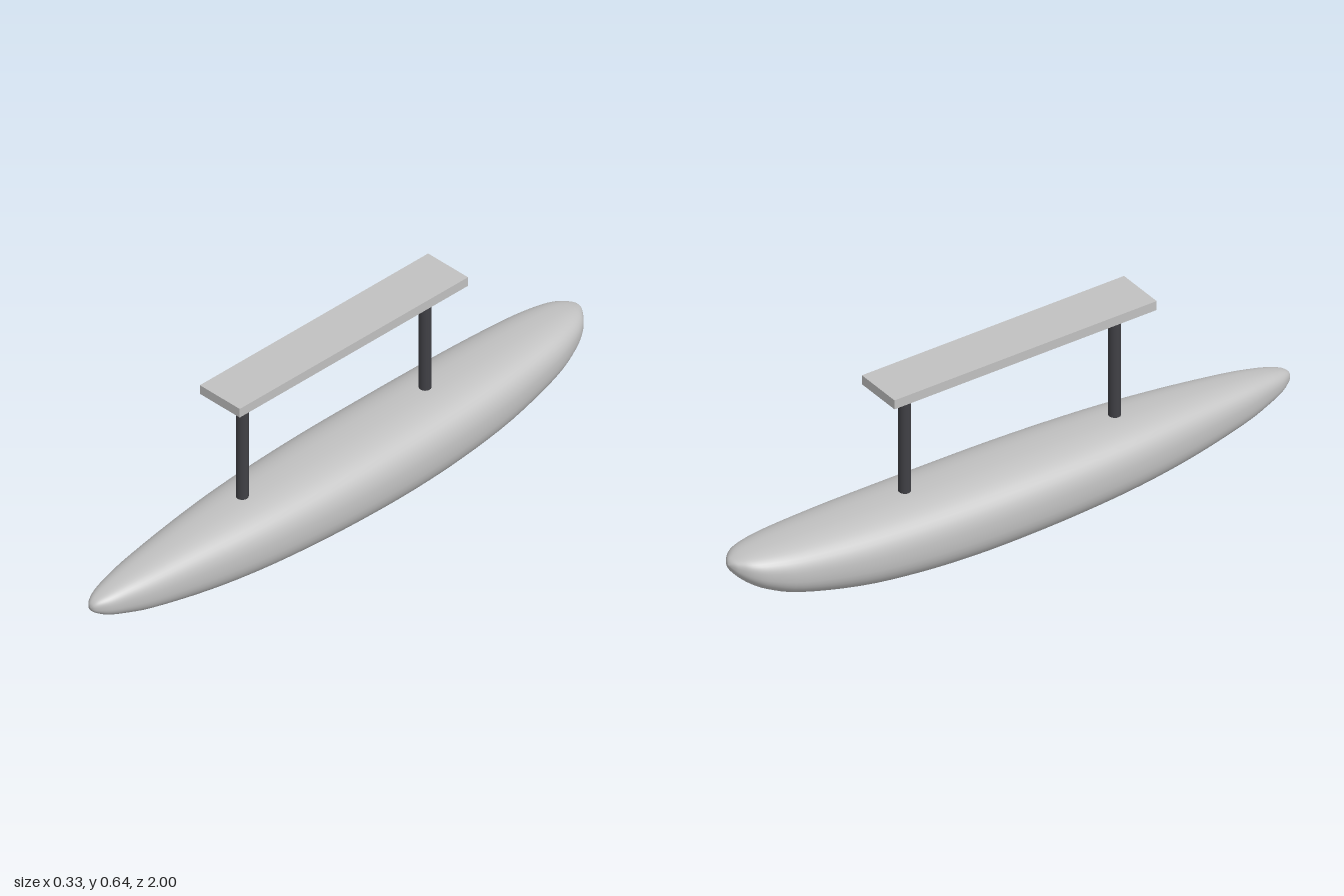
import * as THREE from 'three';
import { mergeVertices } from 'three/addons/utils/BufferGeometryUtils.js';

// Hull stations from bow (+z) to stern (-z): z, top, bottom, half width
const STATIONS = [
  [1, 0.155, 0.155, 0], [0.995, 0.167, 0.142, 0.013], [0.98, 0.178, 0.13, 0.026],
  [0.95, 0.188, 0.114, 0.042], [0.9, 0.199, 0.097, 0.058], [0.8, 0.213, 0.07, 0.082],
  [0.6, 0.231, 0.036, 0.115], [0.4, 0.242, 0.017, 0.141], [0.2, 0.248, 0.007, 0.156],
  [0, 0.252, 0.002, 0.163], [-0.2, 0.254, 0.002, 0.163], [-0.4, 0.256, 0.014, 0.158],
  [-0.6, 0.259, 0.04, 0.146], [-0.8, 0.261, 0.088, 0.12], [-0.9, 0.259, 0.13, 0.093],
  [-0.95, 0.254, 0.163, 0.068], [-0.98, 0.246, 0.192, 0.038], [-0.993, 0.239, 0.212, 0.018],
  [-1, 0.228, 0.228, 0],
];

// Lofts rounded-square sections along the hull
function hullGeometry() {
  const curve = pick => new THREE.CatmullRomCurve3(STATIONS.map(pick), false, 'catmullrom', 0.5);
  const profile = curve(([z, top, bottom]) => new THREE.Vector3(z, top, bottom));
  const plan = curve(([z, , , half]) => new THREE.Vector3(z, half, 0));
  const rings = 72, sides = 48, positions = [], index = [];
  const soften = v => Math.sign(v) * Math.abs(v) ** 0.83;
  for (let i = 0; i <= rings; i++) {
    const p = profile.getPoint(i / rings);
    const half = Math.max(0, plan.getPoint(i / rings).y);
    for (let j = 0; j < sides; j++) {
      const a = (j / sides) * Math.PI * 2;
      positions.push(
        half * soften(Math.cos(a)),
        (p.y + p.z) / 2 + ((p.y - p.z) / 2) * soften(Math.sin(a)),
        p.x,
      );
      if (i === rings) continue;
      const k = (j + 1) % sides;
      const a0 = i * sides + j, b0 = i * sides + k, a1 = a0 + sides, b1 = b0 + sides;
      if (i > 0) index.push(a0, b1, b0);
      if (i < rings - 1) index.push(a0, a1, b1);
      else index.push(a0, a1, b1);
    }
  }
  let geometry = new THREE.BufferGeometry();
  geometry.setAttribute('position', new THREE.Float32BufferAttribute(positions, 3));
  geometry.setIndex(index);
  geometry = mergeVertices(geometry, 1e-6);
  geometry.computeVertexNormals();
  return geometry;
}

export function createModel() {
  const model = new THREE.Group();
  model.name = 'floatWithMount';
  const grey = new THREE.MeshStandardMaterial({ color: 0xc0c0c0 });
  grey.name = 'light grey';
  const dark = new THREE.MeshStandardMaterial({ color: 0x404045 });
  dark.name = 'dark grey';

  const add = (name, geometry, material, x, y, z) => {
    const mesh = new THREE.Mesh(geometry, material);
    mesh.name = name;
    mesh.position.set(x, y, z);
    model.add(mesh);
  };

  add('hull', hullGeometry(), grey, 0, 0, 0);

  // Struts standing on the hull, carrying the plate
  const strut = new THREE.CylinderGeometry(0.019, 0.019, 0.375, 24);
  add('frontStrut', strut, dark, 0, 0.4275, 0.378);
  add('rearStrut', strut, dark, 0, 0.4275, -0.37);

  add('mountingPlate', new THREE.BoxGeometry(0.166, 0.031, 0.934), grey, 0, 0.63, 0.003);
  return model;
}
